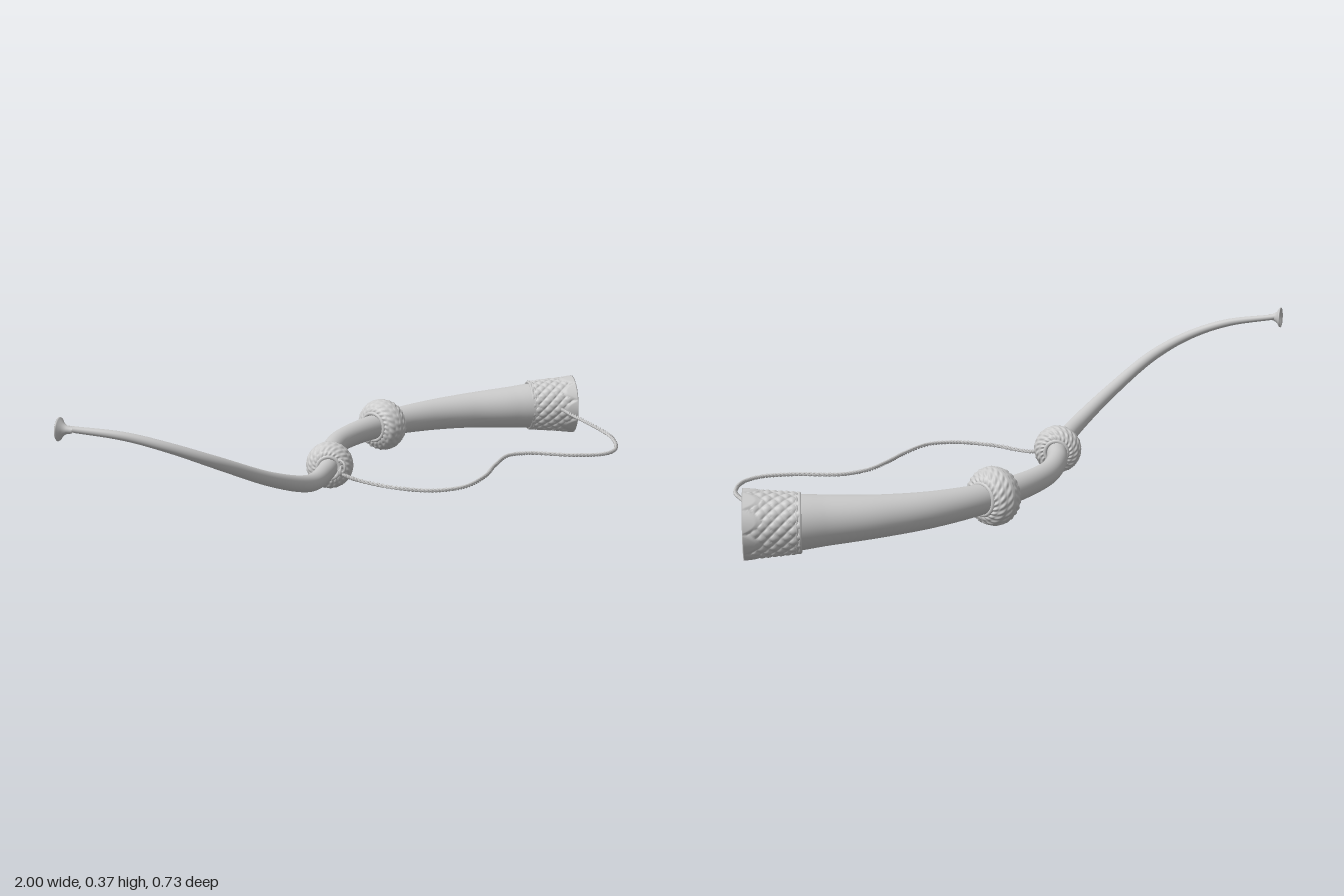
import * as THREE from 'three';

const V = (x, y, z) => new THREE.Vector3(x, y, z);
const material = new THREE.MeshStandardMaterial({ color: 0xcccccc, side: THREE.DoubleSide });

// Centre line of the horn from mouthpiece to bell: x, y, z, radius
const STATIONS = [
  [-0.963, 0.342, -0.238, 0.008], [-0.877, 0.322, -0.126, 0.011], [-0.797, 0.288, -0.05, 0.013],
  [-0.69, 0.238, 0.002, 0.016], [-0.503, 0.158, 0.017, 0.019], [-0.315, 0.102, -0.013, 0.023],
  [-0.19, 0.091, -0.067, 0.025], [-0.096, 0.09, -0.12, 0.027], [0.005, 0.09, -0.2, 0.028],
  [0.139, 0.091, -0.267, 0.031], [0.364, 0.091, -0.291, 0.037], [0.54, 0.09, -0.256, 0.045],
  [0.674, 0.09, -0.195, 0.053], [0.79, 0.09, -0.117, 0.063], [0.855, 0.09, -0.072, 0.07],
];
const hornCurve = new THREE.CatmullRomCurve3(STATIONS.map(([x, y, z]) => V(x, y, z)));
const hornRadius = new THREE.SplineCurve(STATIONS.map((s, i) => new THREE.Vector2(i, s[3])));

// Closed skin: point(u, angle) with u running along the axis
function skin(name, nu, nv, point) {
  const pos = [], index = [];
  for (let i = 0; i <= nu; i++)
    for (let j = 0; j < nv; j++) pos.push(...point(i / nu, (j / nv) * Math.PI * 2).toArray());
  for (let i = 0; i < nu; i++)
    for (let j = 0; j < nv; j++) {
      const k = (j + 1) % nv;
      const a = i * nv + j, b = i * nv + k, c = a + nv, d = b + nv;
      index.push(a, b, c, b, d, c);
    }
  const geometry = new THREE.BufferGeometry();
  geometry.setAttribute('position', new THREE.Float32BufferAttribute(pos, 3));
  geometry.setIndex(index);
  geometry.computeVertexNormals();
  const mesh = new THREE.Mesh(geometry, material);
  mesh.name = name;
  return mesh;
}

const ringPoint = (r, angle, z) => V(r * Math.cos(angle), r * Math.sin(angle), z);

// Put an object built along +z onto a point with the given axis
function place(object, position, axis) {
  object.position.copy(position);
  object.quaternion.setFromUnitVectors(V(0, 0, 1), axis.clone().normalize());
  return object;
}

// Axes across a path, kept level with the ground
function frame(curve, t) {
  const tangent = curve.getTangent(t);
  const side = V(0, 1, 0).cross(tangent).normalize();
  return [side, tangent.cross(side)];
}

function hornBody() {
  return skin('hornBody', 150, 40, (u, angle) => {
    const [side, up] = frame(hornCurve, u);
    const r = hornRadius.getPoint(u).y;
    return hornCurve.getPoint(u)
      .addScaledVector(side, r * Math.cos(angle))
      .addScaledVector(up, r * Math.sin(angle));
  });
}

// Flared cup with a hollow face
function mouthpiece() {
  const profile = [[0.008, -0.035], [0.01, -0.02], [0.017, -0.009], [0.028, -0.002], [0.03, 0.001],
    [0.028, 0.003], [0.018, -0.002], [0.006, -0.01], [0, -0.012]];
  const geometry = new THREE.LatheGeometry(profile.map(([r, y]) => new THREE.Vector2(r, y)), 32);
  geometry.rotateX(Math.PI / 2);
  const mesh = new THREE.Mesh(geometry, material);
  mesh.name = 'mouthpiece';
  return place(mesh, V(-0.974, 0.341, -0.251), V(-0.4, 0.03, -0.92));
}

// Swollen collar covered in slanted rope ridges, with a plain middle band
function knob(name, station, radius, halfWidth) {
  const t = station / (STATIONS.length - 1);
  const inner = STATIONS[station][3] * 0.95;
  const group = new THREE.Group();
  group.name = name;
  group.add(skin('ropeCollar', 56, 132, (u, angle) => {
    const a = -Math.cos(u * Math.PI);
    const s = Math.abs(a);
    const phi = u * Math.PI;
    let bump = 0;
    if (s > 0.14) {
      const row = Math.abs(Math.sin(phi * 6));
      bump = 0.05 * row * (0.6 + 0.8 * Math.sin(22 * angle + Math.sign(a) * phi * 10)) - 0.03;
    } else bump = 0.02;
    const r = inner + (radius - inner) * Math.pow(Math.sin(phi), 0.8) * (1 + bump);
    return ringPoint(r, angle, a * halfWidth * (1 + bump));
  }));
  for (const side of [-1, 1]) {
    const lip = new THREE.Mesh(new THREE.TorusGeometry(inner + 0.005, 0.006, 8, 40), material);
    lip.name = 'collarLip';
    lip.position.z = side * halfWidth * 0.95;
    group.add(lip);
  }
  return place(group, hornCurve.getPoint(t), hornCurve.getTangent(t));
}

// Bell end: quilted diamonds, then a row of pointed leaves up to the rim
function bellRelief(s, angle) {
  const turn = angle / (Math.PI * 2);
  const leaf = Math.abs(((turn * 9) % 1) - 0.5) * 2;
  const edge = 0.66 + 0.26 * leaf * leaf;
  if (s > edge) return 0.003 * Math.min(1, (s - edge) * 10);
  const p = Math.sin(Math.PI * (turn * 16 + s * 4.5));
  const q = Math.sin(Math.PI * (turn * 16 - s * 4.5));
  return 0.006 * Math.sqrt(Math.abs(p * q)) - 0.003;
}

function bell() {
  const group = new THREE.Group();
  group.name = 'bell';
  const length = 0.137;
  const radius = (s) => 0.073 + 0.012 * s;
  // Outer wall, over the rim, and back down the inner wall
  group.add(skin('bellWall', 96, 192, (u, angle) => {
    const outside = u <= 0.5;
    const s = outside ? u * 2 : 2 - u * 2;
    const relief = bellRelief(s, angle);
    const r = outside ? radius(s) + relief : radius(s) - 0.006 * Math.min(1, (1 - s) * 15) - relief;
    return ringPoint(r, angle, s * length);
  }));
  for (const z of [0, 0.008]) {
    const bead = new THREE.Mesh(new THREE.TorusGeometry(0.071, 0.004, 8, 64), material);
    bead.name = 'bellBead';
    bead.position.z = z;
    group.add(bead);
  }
  return place(group, V(0.842, 0.09, -0.089), V(0.72, 0, 0.69));
}

// Two strands wound around each other along a path
function twistedCord(name, points, turns, segments) {
  const path = new THREE.CatmullRomCurve3(points);
  const group = new THREE.Group();
  group.name = name;
  for (const phase of [0, Math.PI]) {
    class Strand extends THREE.Curve {
      getPoint(t, target = new THREE.Vector3()) {
        const [side, up] = frame(path, t);
        const w = t * turns * Math.PI * 2 + phase;
        return target.copy(path.getPoint(t))
          .addScaledVector(side, 0.003 * Math.cos(w))
          .addScaledVector(up, 0.003 * Math.sin(w));
      }
    }
    const strand = new THREE.Mesh(new THREE.TubeGeometry(new Strand(), segments, 0.003, 6), material);
    strand.name = 'cordStrand';
    group.add(strand);
  }
  return group;
}

function carryingCord() {
  const points = [
    [-0.112, 0.075, -0.065], [-0.1, 0.064, -0.02], [-0.091, 0.061, 0.11], [-0.05, 0.061, 0.205],
    [0.02, 0.063, 0.248], [0.14, 0.064, 0.233], [0.246, 0.068, 0.195], [0.353, 0.071, 0.17],
    [0.42, 0.068, 0.2], [0.487, 0.064, 0.3], [0.556, 0.062, 0.357], [0.62, 0.063, 0.357],
    [0.717, 0.069, 0.286], [0.78, 0.078, 0.18], [0.834, 0.087, 0.065], [0.855, 0.092, 0.02],
    [0.872, 0.094, -0.005],
  ];
  return twistedCord('carryingCord', points.map((p) => V(...p)), 75, 700);
}

// Small knot tying the cord to the first knob
function cordKnot() {
  const group = new THREE.Group();
  group.name = 'cordKnot';
  for (const [i, r] of [0.012, 0.016].entries()) {
    const loop = new THREE.Mesh(new THREE.TorusGeometry(r, 0.0035, 6, 24), material);
    loop.name = 'knotLoop';
    loop.rotation.y = 0.5 + i * 0.9;
    loop.position.set(-0.114, 0.085 + i * 0.012, -0.066);
    group.add(loop);
  }
  return group;
}

export function createModel() {
  const model = new THREE.Group();
  model.name = 'horn';
  model.add(
    hornBody(),
    mouthpiece(),
    knob('smallKnob', 7, 0.064, 0.038),
    knob('largeKnob', 10, 0.075, 0.044),
    bell(),
    carryingCord(),
    cordKnot(),
  );
  return model;
}
